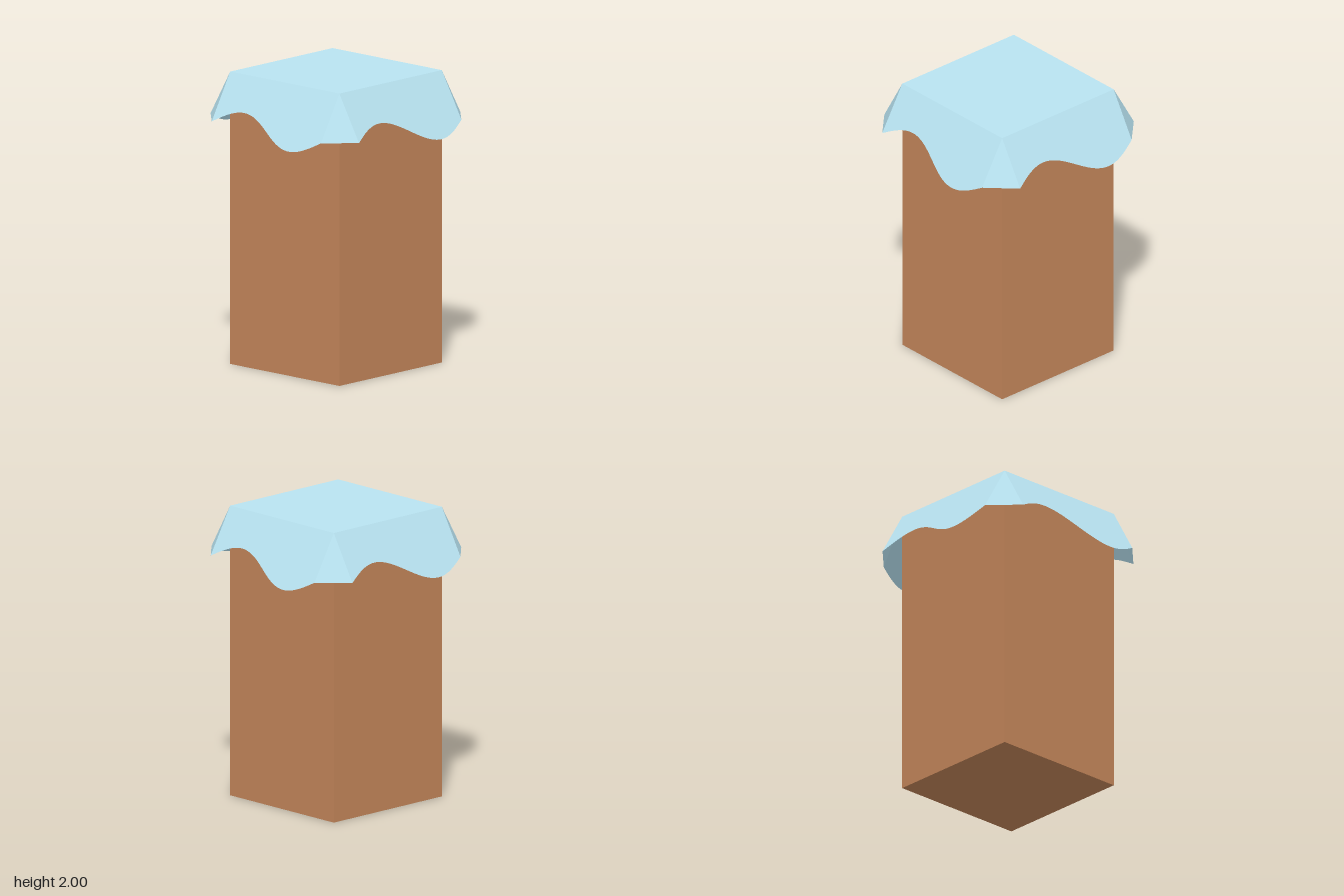
import * as THREE from 'three';

const HALF = 0.5;          // half width of the column
const TOP = 2;             // height of the cloth top
const DROP = 0.36;         // mean length of a flap along its slope
const WAVE = 0.1;          // depth of the wavy hem
const TILT = Math.PI / 6;  // flap angle away from vertical

// Flat flap with a one-period wavy hem, tilted outward from the top edge
function flapGeometry() {
  const steps = 48;
  const shape = new THREE.Shape();
  shape.moveTo(HALF, 0);
  shape.lineTo(-HALF, 0);
  for (let i = 0; i <= steps; i++) {
    const x = -HALF + i / steps;
    shape.lineTo(x, -DROP - WAVE * Math.sin(2 * Math.PI * x));
  }
  return new THREE.ShapeGeometry(shape).rotateX(-TILT).translate(0, TOP, HALF);
}

// Triangle joining two neighbouring flaps
function cornerGeometry() {
  const out = HALF + DROP * Math.sin(TILT);
  const low = TOP - DROP * Math.cos(TILT);
  const geometry = new THREE.BufferGeometry().setFromPoints([
    new THREE.Vector3(HALF, TOP, HALF),
    new THREE.Vector3(HALF, low, out),
    new THREE.Vector3(out, low, HALF),
  ]);
  geometry.computeVertexNormals();
  return geometry;
}

export function createModel() {
  const model = new THREE.Group();
  model.name = 'coveredColumn';
  const brown = new THREE.MeshStandardMaterial({ color: 0xc4865a });
  const blue = new THREE.MeshStandardMaterial({ color: 0xb8e3f1, side: THREE.DoubleSide });

  const add = (parent, name, geometry, material) => {
    const mesh = new THREE.Mesh(geometry, material);
    mesh.name = name;
    parent.add(mesh);
    return mesh;
  };

  // Column, ending just under the cloth
  const height = TOP - 0.003;
  add(model, 'column', new THREE.BoxGeometry(1, height, 1).translate(0, height / 2, 0), brown);

  // Cloth: flat top, four flaps and four corner folds
  const cloth = new THREE.Group();
  cloth.name = 'cloth';
  model.add(cloth);
  add(cloth, 'clothTop', new THREE.PlaneGeometry(1, 1).rotateX(-Math.PI / 2).translate(0, TOP, 0), blue);
  const flap = flapGeometry();
  const corner = cornerGeometry();
  ['front', 'left', 'back', 'right'].forEach((side, i) => {
    add(cloth, side + 'Flap', flap, blue).rotation.y = i * Math.PI / 2;
    add(cloth, side + 'CornerFold', corner, blue).rotation.y = i * Math.PI / 2;
  });
  return model;
}
